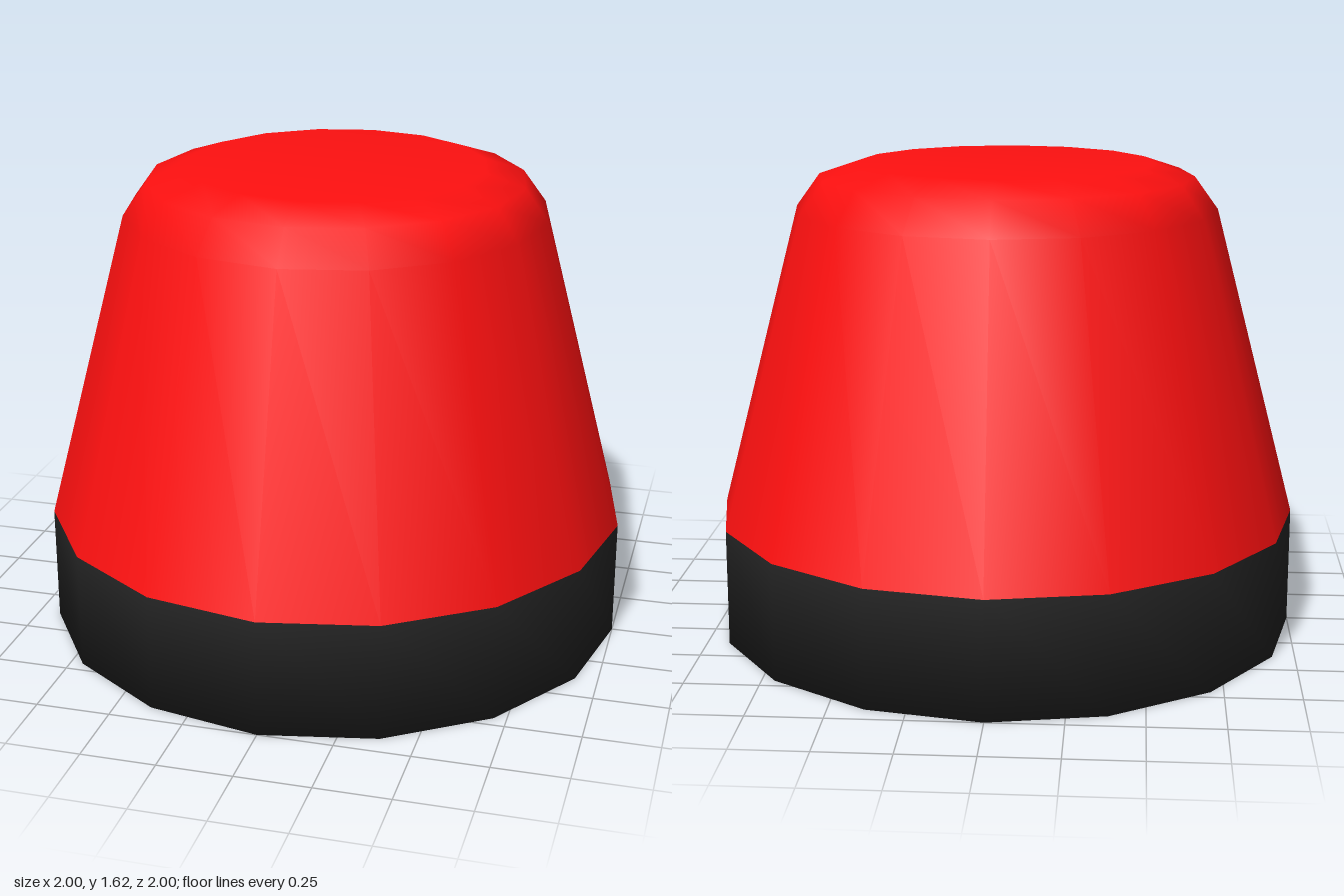
import * as THREE from 'three';

const SIDES = 16;

// Smooth-shaded turned part from [radius, height] pairs, bottom to top
function turned(name, profile, color) {
  const points = profile.map(([r, y]) => new THREE.Vector2(r, y));
  const mesh = new THREE.Mesh(
    new THREE.LatheGeometry(points, SIDES),
    new THREE.MeshStandardMaterial({ color })
  );
  mesh.name = name;
  return mesh;
}

export function createModel() {
  const model = new THREE.Group();
  model.name = 'beaconLight';

  // Dark base with a closed underside
  model.add(turned('base', [[0, 0], [1, 0], [1, 0.4]], 0x262626));

  // Tapered red lens with a bevelled shoulder and flat top
  model.add(turned('lens', [
    [1, 0.4], [0.72, 1.46], [0.64, 1.57], [0.505, 1.615], [0, 1.615],
  ], 0xff1010));

  return model;
}
